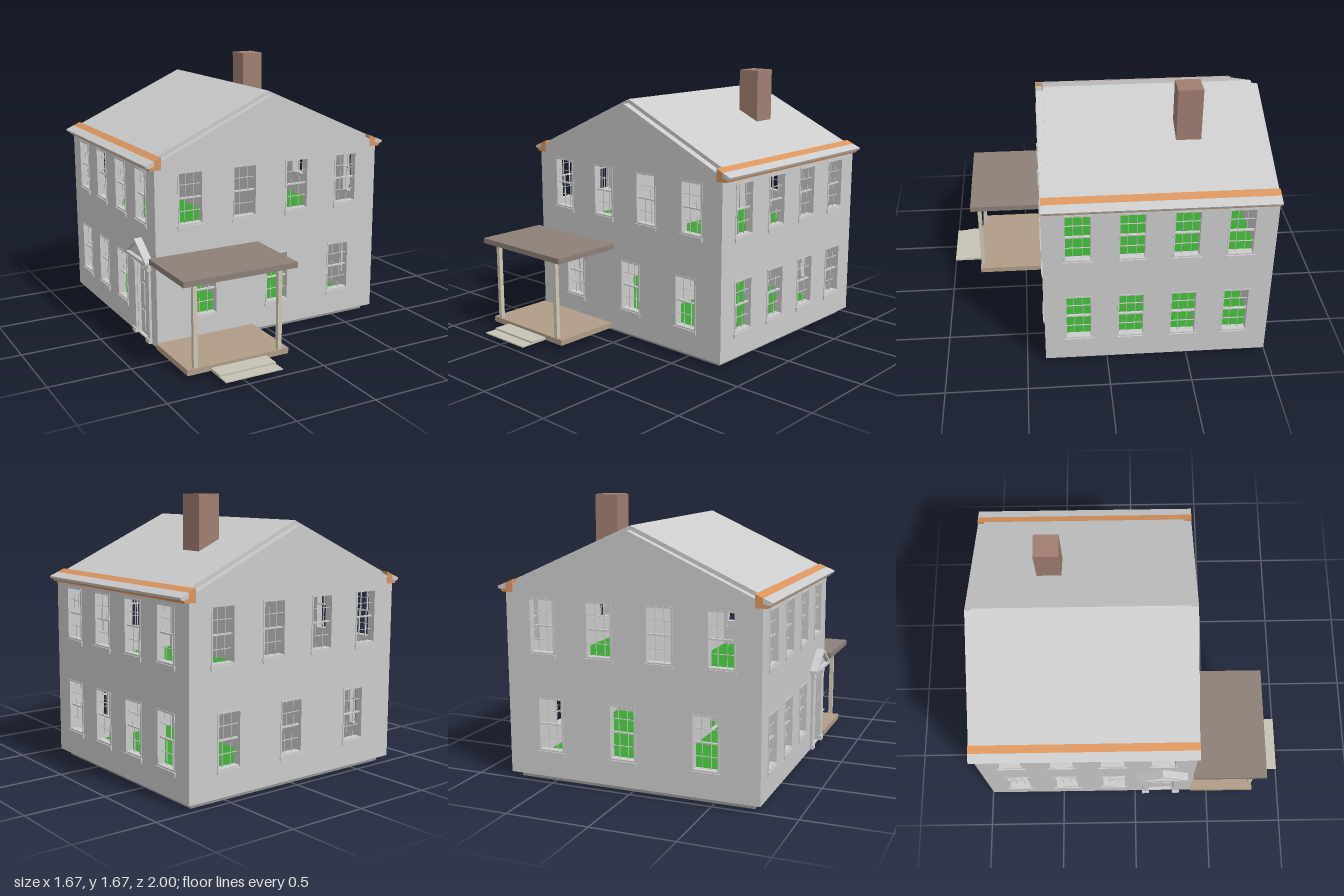
import * as THREE from 'three';

const mat = (color) => new THREE.MeshStandardMaterial({ color });
const GREY = mat(0xcccccc), STONE = mat(0x929292), BRICK = mat(0xa07e72), TRIM = mat(0xd9955f);
const PORCH_ROOF = mat(0x8c8078), DECK = mat(0xb09c88), POST = mat(0xcfc8b6), STEP = mat(0xc6c2b4), CARPET = mat(0x3aa535);

const W = 0.78, D = 0.6875, T = 0.045, BASE = 0.035; // half width, half depth, wall thickness, wall foot

function add(parent, name, geometry, material = GREY) {
  const mesh = new THREE.Mesh(geometry, material);
  mesh.name = name;
  parent.add(mesh);
  return mesh;
}

// Box given by its min and max on each axis
function box(parent, name, x0, x1, y0, y1, z0, z1, material) {
  const m = add(parent, name, new THREE.BoxGeometry(x1 - x0, y1 - y0, z1 - z0), material);
  m.position.set((x0 + x1) / 2, (y0 + y1) / 2, (z0 + z1) / 2);
  return m;
}

// Outline in x,y extruded from z0 to z1, with rectangular holes [x0, x1, y0, y1]
function slab(parent, name, outline, z0, z1, material, holes = []) {
  const shape = new THREE.Shape(outline.map(([x, y]) => new THREE.Vector2(x, y)));
  for (const [x0, x1, y0, y1] of holes) {
    shape.holes.push(new THREE.Path([[x0, y0], [x0, y1], [x1, y1], [x1, y0]].map((p) => new THREE.Vector2(...p))));
  }
  const m = add(parent, name, new THREE.ExtrudeGeometry(shape, { depth: z1 - z0, bevelEnabled: false }), material);
  m.position.z = z0;
  return m;
}

const WIN_W = 0.165, WIN_H = 0.325;

// Sash window, three panes by four, origin at the bottom middle of its opening
function sashWindow(x, y) {
  const g = new THREE.Group();
  g.name = 'window';
  g.position.set(x, y, 0);
  const h = WIN_W / 2, mid = WIN_H / 2, f = 0.009;
  for (const s of [-1, 1]) {
    const j = box(g, 'jamb', -f / 2, f / 2, 0, WIN_H, -T, 0.004);
    j.position.x = s * (h - f / 2);
  }
  box(g, 'head', -h, h, WIN_H - f, WIN_H, -T, 0.004);
  box(g, 'bottomRail', -h, h, 0, f, -T, 0.002);
  box(g, 'meetingRail', -h, h, mid - 0.004, mid + 0.004, -0.03, -0.012);
  for (const s of [-1, 1]) {
    const zc = s > 0 ? -0.016 : -0.026;
    const y0 = s > 0 ? mid : 0;
    for (const k of [-1, 1]) {
      box(g, 'muntin', k * WIN_W / 6 - 0.0015, k * WIN_W / 6 + 0.0015, y0, y0 + mid, zc - 0.003, zc + 0.003);
    }
    box(g, 'muntin', -h, h, y0 + mid / 2 - 0.0015, y0 + mid / 2 + 0.0015, zc - 0.003, zc + 0.003);
  }
  box(g, 'sill', -h - 0.007, h + 0.007, -0.012, 0, -T / 2, 0.01);
  box(g, 'apron', -h - 0.003, h + 0.003, -0.028, -0.012, -T / 2, 0.007);
  return g;
}

// Outer wall with windows; its outer face lies on local z = 0
function wall(house, name, angle, dist, outline, windows, extraHoles = []) {
  const g = new THREE.Group();
  g.name = name;
  g.rotation.y = angle;
  g.position.set(Math.sin(angle) * dist, 0, Math.cos(angle) * dist);
  const holes = windows.map(([x, y]) => [x - WIN_W / 2, x + WIN_W / 2, y, y + WIN_H]);
  slab(g, 'wall', outline, -T, 0, GREY, [...holes, ...extraHoles]);
  for (const [x, y] of windows) g.add(sashWindow(x, y));
  house.add(g);
  return g;
}

// Side entrance: panelled door, pilasters and pediment
function entrance(x) {
  const g = new THREE.Group();
  g.name = 'sideEntrance';
  g.position.x = x;
  box(g, 'door', -0.08, 0.08, 0.045, 0.5, -0.035, -0.02);
  for (const s of [-1, 1]) {
    for (const [y0, y1] of [[0.07, 0.2], [0.225, 0.375], [0.4, 0.475]]) {
      const p = box(g, 'doorPanel', -0.026, 0.026, y0, y1, -0.02, -0.014);
      p.position.x = s * 0.037;
    }
    const a = box(g, 'pilaster', -0.02, 0.02, 0.04, 0.52, -0.01, 0.015);
    const b = box(g, 'pilasterBase', -0.025, 0.025, 0.04, 0.07, -0.01, 0.024);
    const c = box(g, 'pilasterCap', -0.025, 0.025, 0.5, 0.52, -0.01, 0.024);
    for (const m of [a, b, c]) m.position.x = s * 0.105;
  }
  box(g, 'entablature', -0.135, 0.135, 0.52, 0.55, -0.01, 0.02);
  box(g, 'pedimentBase', -0.165, 0.165, 0.55, 0.565, -0.01, 0.05);
  slab(g, 'pedimentFace', [[-0.15, 0.565], [0.15, 0.565], [0, 0.665]], -0.01, 0.025);
  slab(g, 'pedimentRake', [[-0.165, 0.565], [-0.135, 0.565], [0, 0.655], [0.135, 0.565], [0.165, 0.565], [0, 0.677]], -0.01, 0.05);
  return g;
}

export function createModel() {
  const model = new THREE.Group();
  model.name = 'house';
  const house = new THREE.Group();
  house.name = 'mainBlock';
  house.position.z = 0.385 - D;
  model.add(house);

  // Foundation and floors
  box(house, 'foundation', -0.735, 0.735, 0, 0.04, -D + T, D - T, STONE);
  const ix = W - T, iz = D - T;
  for (const y of [0.04, 0.6]) {
    box(house, 'floorSlab', -ix, ix, y, y + 0.02, -iz, iz);
    box(house, 'carpet', -ix, ix, y + 0.02, y + 0.024, -iz, iz, CARPET);
  }
  box(house, 'ceiling', -ix, ix, 1.13, 1.15, -iz, iz);

  // Inner partition with a doorway on the ground floor
  const partition = slab(house, 'partition', [[-iz, 0.05], [iz, 0.05], [iz, 1.13], [-iz, 1.13]], 0, 0.03, GREY, [[-0.55, -0.38, 0.065, 0.43]]);
  partition.rotation.y = Math.PI / 2;
  partition.position.set(-0.088, 0, 0);

  // Walls
  const UP = 0.775, LOW = 0.19;
  const gable = [[-W, BASE], [W, BASE], [W, 1.155], [0, 1.505], [-W, 1.155]];
  const side = [[-iz, BASE], [iz, BASE], [iz, 1.15], [-iz, 1.15]];
  const upperFront = [-0.55, -0.185, 0.185, 0.55].map((x) => [x, UP]);
  const lowerFront = [-0.46, 0.045, 0.505].map((x) => [x, LOW]);
  const mirrorX = (list) => list.map(([x, y]) => [-x, y]);
  const sideX = [-0.48, -0.16, 0.16, 0.48];
  const sideWindows = [...sideX.map((x) => [x, UP]), ...sideX.map((x) => [x, LOW])];
  wall(house, 'frontWall', 0, D, gable, [...upperFront, ...lowerFront]);
  wall(house, 'backWall', Math.PI, D, gable, mirrorX([...upperFront, ...lowerFront]));
  wall(house, 'leftWall', Math.PI / 2, W, side, sideWindows);
  const right = wall(house, 'rightWall', -Math.PI / 2, W, side, sideWindows.slice(0, 7), [[0.4, 0.56, 0.045, 0.5]]);
  right.add(entrance(0.48));

  // Roof between the gables, with eaves along both sides
  slab(house, 'roof', [[-0.735, 1.14], [0, 1.47], [0.735, 1.14], [0.735, 1.2], [0, 1.53], [-0.735, 1.2]], -iz, iz);
  const eave = [[0.735, 1.2], [0.78, 1.18], [0.78, 1.15], [0.812, 1.14], [0.806, 1.125], [0.735, 1.125]];
  const crown = [[0.78, 1.18], [0.835, 1.157], [0.828, 1.143], [0.812, 1.14], [0.78, 1.15]];
  for (const s of [1, -1]) {
    const flip = (pts) => pts.map(([x, y]) => [s * x, y]);
    slab(house, 'eaveBoard', flip(eave), -D - 0.001, D + 0.001, TRIM);
    slab(house, 'cornice', flip(crown), -D - 0.001, D + 0.001);
  }

  // Chimney
  box(model, 'chimney', 0.255, 0.4, 1.3, 1.675, -0.58, -0.43, BRICK);

  // Front porch
  const porch = new THREE.Group();
  porch.name = 'porch';
  model.add(porch);
  box(porch, 'porchDeck', -0.79, -0.13, 0.035, 0.07, 0.385, 0.815, DECK);
  box(porch, 'porchRoof', -0.825, -0.095, 0.572, 0.606, 0.385, 0.852, PORCH_ROOF);
  for (const x of [-0.736, -0.187]) {
    box(porch, 'porchPost', x - 0.013, x + 0.013, 0.07, 0.572, 0.785, 0.811, POST);
  }
  box(porch, 'lowerStep', -0.645, -0.28, 0.036, 0.043, 0.92, 1, STEP);
  box(porch, 'upperStep', -0.645, -0.28, 0.036, 0.053, 0.815, 0.925, STEP);
  return model;
}
